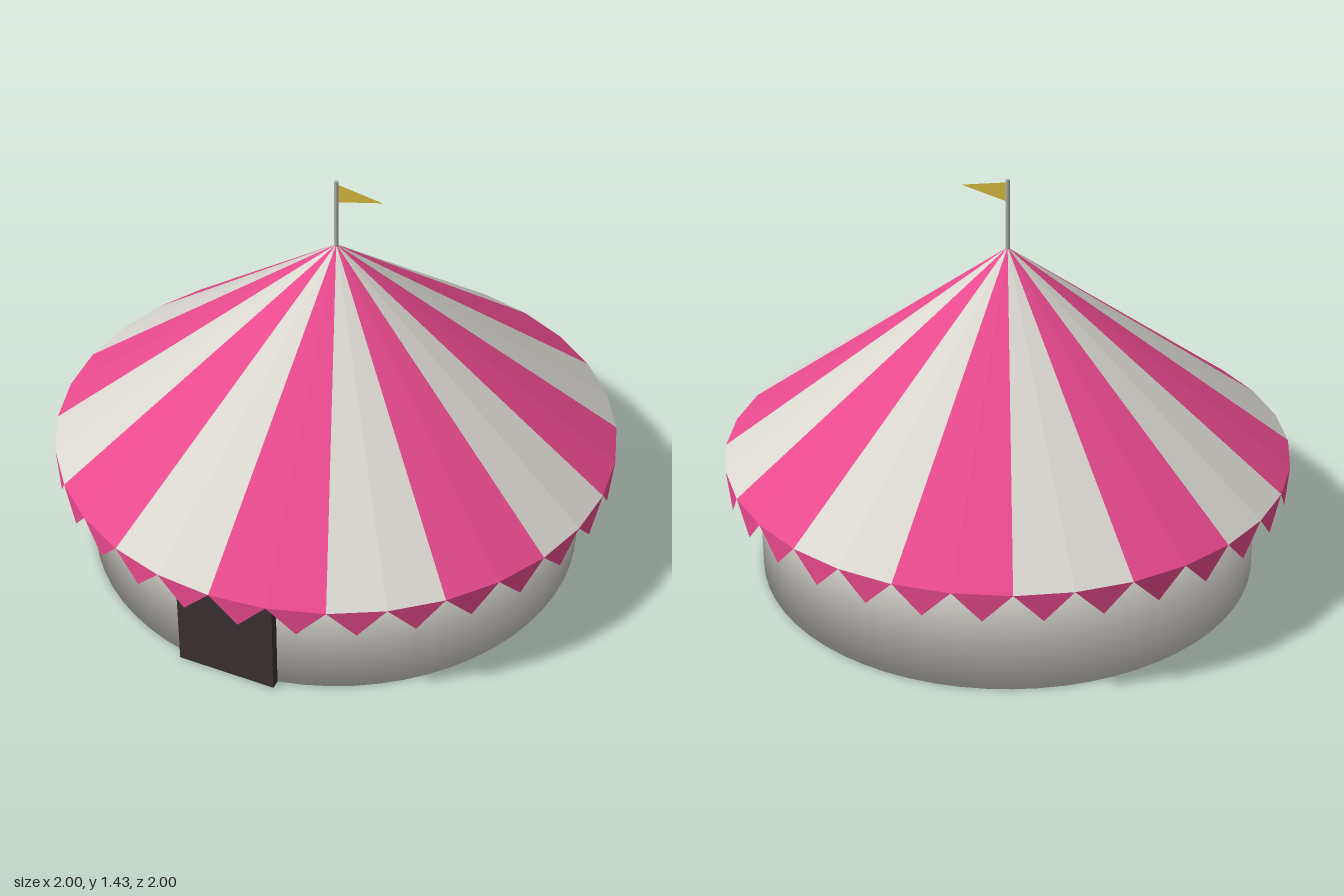
import * as THREE from 'three';
import { mergeVertices, mergeGeometries } from 'three/addons/utils/BufferGeometryUtils.js';

const RIM_Y = 0.435, APEX_Y = 1.19, STRIPES = 16, FLAPS = 32;

function material(name, color, side = THREE.FrontSide) {
  const m = new THREE.MeshStandardMaterial({ color, side });
  m.name = name;
  return m;
}

// Flat-faceted wedge of the conical roof
function roofWedge(index) {
  const step = (Math.PI * 2) / STRIPES;
  const cone = new THREE.ConeGeometry(1, APEX_Y - RIM_Y, 2, 1, true, index * step, step).toNonIndexed();
  cone.translate(0, (APEX_Y + RIM_Y) / 2, 0);
  cone.computeVertexNormals();
  return cone;
}

// Flat triangle from three [x, y] corners
function triangle(a, b, c) {
  return new THREE.ShapeGeometry(new THREE.Shape([a, b, c].map(p => new THREE.Vector2(...p))));
}

export function createModel() {
  const pink = material('pink canvas', 0xe84a8c, THREE.DoubleSide);
  const white = material('white canvas', 0xd9d6d0, THREE.DoubleSide);
  const dark = material('dark doorway', 0x3a3031);
  const gold = material('gold flag', 0xd4b63c, THREE.DoubleSide);
  const grey = material('grey metal', 0xb0b0b0);

  const tent = new THREE.Group();
  tent.name = 'stripedTent';
  const add = (name, geometry, mat) => {
    const mesh = new THREE.Mesh(geometry, mat);
    mesh.name = name;
    tent.add(mesh);
    return mesh;
  };

  // Round wall, shaded softly across its rims
  const drum = new THREE.CylinderGeometry(0.885, 0.885, RIM_Y, 64);
  drum.deleteAttribute('normal');
  drum.deleteAttribute('uv');
  const wallGeometry = mergeVertices(drum);
  wallGeometry.computeVertexNormals();
  add('wall', wallGeometry, white).position.y = RIM_Y / 2;

  // Striped roof
  const wedges = [[], []];
  for (let i = 0; i < STRIPES; i++) wedges[i % 2].push(roofWedge(i));
  add('pinkRoofStripes', mergeGeometries(wedges[0]), pink);
  add('whiteRoofStripes', mergeGeometries(wedges[1]), white);

  // Pointed valance flaps around the rim
  const half = Math.sin(Math.PI / FLAPS), flaps = [];
  for (let i = 0; i < FLAPS; i++) {
    const flap = triangle([-half, RIM_Y], [0, RIM_Y - 0.1], [half, RIM_Y]);
    flap.translate(0, 0, Math.cos(Math.PI / FLAPS));
    flap.rotateY(((i + 0.5) * Math.PI * 2) / FLAPS);
    flaps.push(flap);
  }
  add('valance', mergeGeometries(flaps), pink);

  // Doorway panel
  add('doorway', new THREE.BoxGeometry(0.352, 0.38, 0.04), dark).position.set(0, 0.19, 0.88);

  // Pole and pennant
  add('flagPole', new THREE.CylinderGeometry(0.008, 0.008, 0.265, 12), grey).position.y = 1.3025;
  add('pennant', triangle([0, 1.355], [0.167, 1.393], [0, 1.425]), gold);

  return tent;
}
